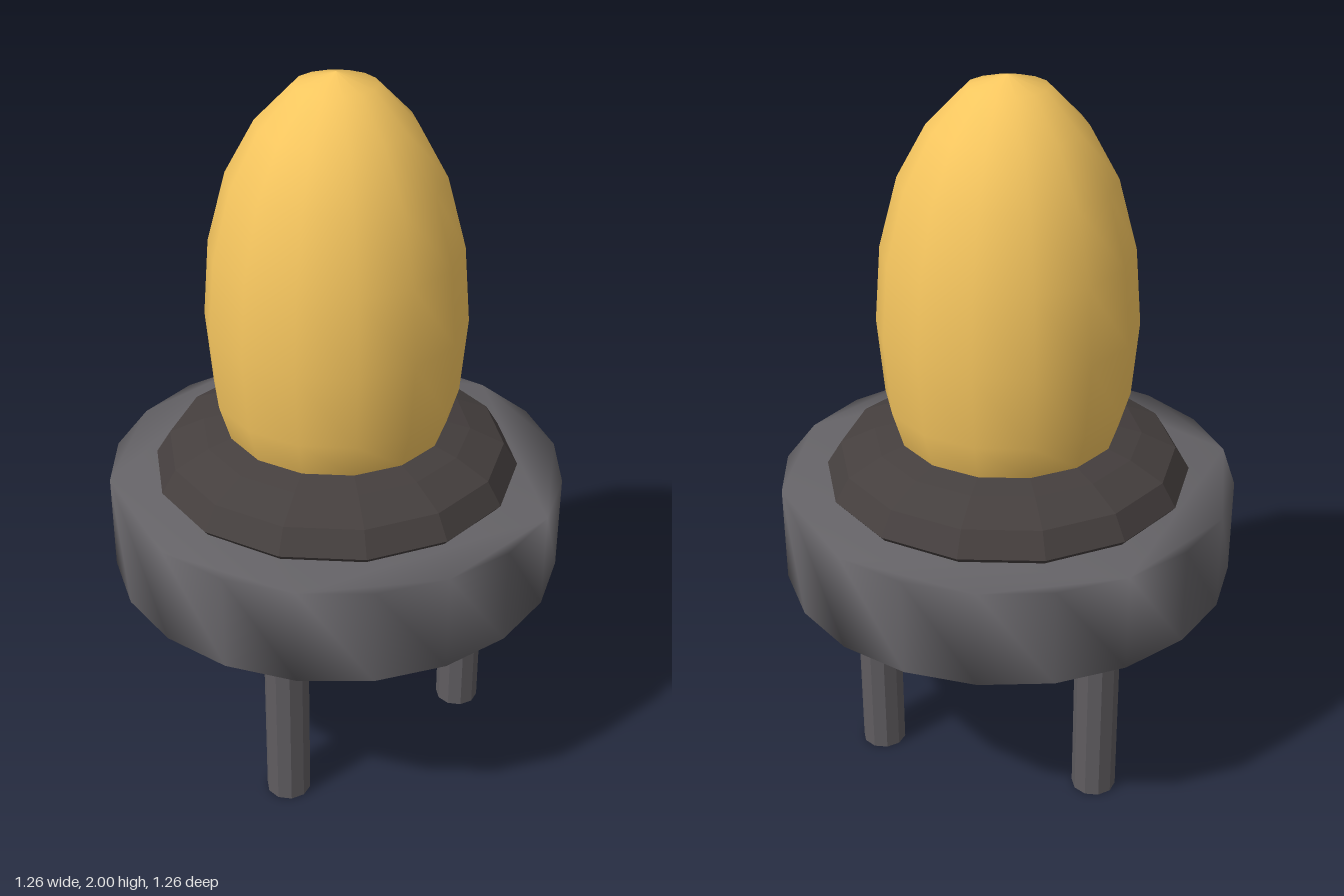
import * as THREE from 'three';
import { mergeVertices } from 'three/addons/utils/BufferGeometryUtils.js';

const material = (color, extra = {}) => new THREE.MeshStandardMaterial({ color, ...extra });

export function createModel() {
  const model = new THREE.Group();
  model.name = 'domedThreeLegStand';
  const add = (name, geometry, mat) => {
    const mesh = new THREE.Mesh(geometry, mat);
    mesh.name = name;
    model.add(mesh);
    return mesh;
  };
  const lathe = (points, sides) =>
    new THREE.LatheGeometry(points.map(([r, y]) => new THREE.Vector2(r, y)), sides);

  // Base: 20-sided disc, shaded smoothly across its rims
  const outline = [];
  for (let i = 0; i < 20; i++) {
    const a = (i / 20) * Math.PI * 2;
    outline.push(new THREE.Vector2(0.63 * Math.cos(a), 0.63 * Math.sin(a)));
  }
  let disc = new THREE.ExtrudeGeometry(new THREE.Shape(outline), { depth: 0.275, bevelEnabled: false });
  disc.deleteAttribute('uv');
  disc.deleteAttribute('normal');
  disc = mergeVertices(disc);
  disc.rotateX(-Math.PI / 2).translate(0, 0.6, 0);
  disc.computeVertexNormals();
  add('base', disc, material(0x656367));

  // Collar: faceted 14-sided flattened ring between base and dome
  const collarProfile = [[0.48, 0.86], [0.505, 0.89], [0.465, 0.955], [0.37, 1.0], [0.28, 1.025], [0, 1.025]];
  add('collar', lathe(collarProfile, 14), material(0x453f3e, { flatShading: true }));

  // Dome: smooth 14-sided egg, sunk into the collar
  const domeProfile = [
    [0.26, 0.92], [0.305, 1.02], [0.335, 1.12], [0.353, 1.33], [0.336, 1.54],
    [0.285, 1.73], [0.207, 1.87], [0.107, 1.97], [0, 2.0],
  ];
  add('dome', lathe(domeProfile, 14), material(0xf6c65f));

  // Legs: three faceted pins evenly spaced under the base
  const legGeometry = new THREE.CylinderGeometry(0.0625, 0.0625, 0.62, 10);
  const legMaterial = material(0x5f5c60, { flatShading: true });
  for (let i = 0; i < 3; i++) {
    const a = (i / 3) * Math.PI * 2;
    add(`leg${i + 1}`, legGeometry, legMaterial)
      .position.set(0.378 * Math.cos(a), 0.31, 0.378 * Math.sin(a));
  }
  return model;
}
